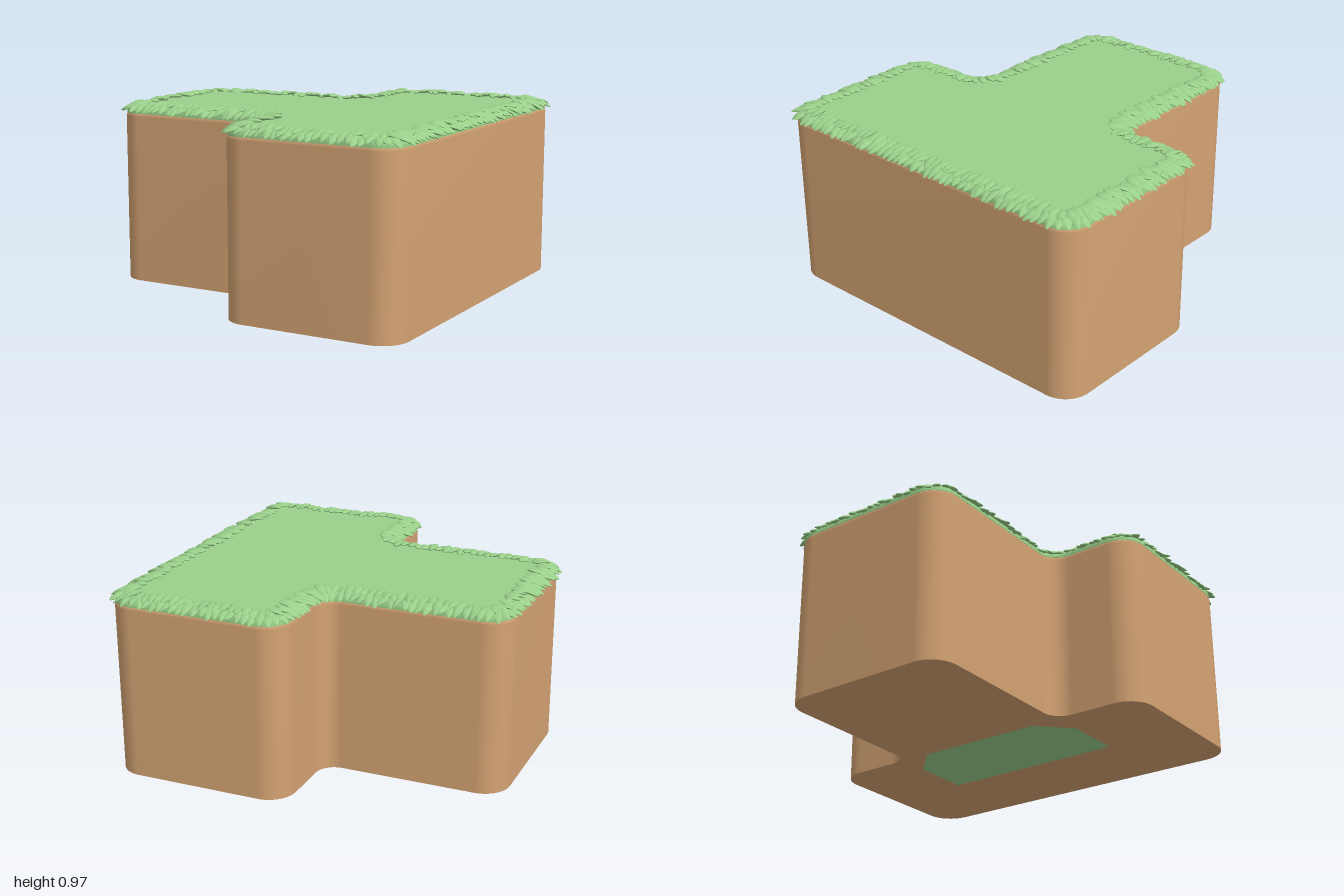
import * as THREE from 'three';
import { mergeGeometries } from 'three/addons/utils/BufferGeometryUtils.js';

const SOIL = 0xd4a373, GRASS = 0x9ad08a;

// Seeded jitter in the range -1..1
let seed = 7;
const jitter = () => {
  seed = (seed * 16807) % 2147483647;
  return (seed / 2147483647) * 2 - 1;
};

// T-shaped plan with rounded corners, drawn counter-clockwise and moved inwards by d
function plan(d) {
  const h = 0.96 - d, s = 0.48 - d;
  const corners = [[h, -h], [h, h], [d, h], [d, s], [-h, s], [-h, -s], [d, -s], [d, -h]]
    .map(([x, y]) => new THREE.Vector2(x, y));
  const shape = new THREE.Shape();
  let first;
  corners.forEach((c, i) => {
    const notch = i === 3 || i === 6;
    const r = notch ? 0.1 + d : 0.14 - d;
    const toPrev = corners[(i + 7) % 8].clone().sub(c).normalize();
    const toNext = corners[(i + 1) % 8].clone().sub(c).normalize();
    const at = (dir, k) => c.clone().addScaledVector(dir, k);
    const a = at(toPrev, r), b = at(toPrev, r * 0.45), e = at(toNext, r * 0.45), f = at(toNext, r);
    if (i === 0) { shape.moveTo(a.x, a.y); first = a; } else shape.lineTo(a.x, a.y);
    shape.bezierCurveTo(b.x, b.y, e.x, e.y, f.x, f.y);
  });
  shape.lineTo(first.x, first.y);
  return shape;
}

// Skin through plan outlines given as [height, inset]
function walls(rings) {
  const positions = [], index = [];
  let n = 0;
  for (const [y, inset] of rings) {
    const points = plan(inset).getPoints(10);
    points.pop();
    n = points.length;
    for (const p of points) positions.push(p.x, y, -p.y);
  }
  for (let k = 0; k < rings.length - 1; k++) {
    for (let i = 0; i < n; i++) {
      const j = (i + 1) % n, a = k * n + i, b = k * n + j;
      index.push(a, b, b + n, a, b + n, a + n);
    }
  }
  const g = new THREE.BufferGeometry();
  g.setAttribute('position', new THREE.Float32BufferAttribute(positions, 3));
  g.setIndex(index);
  g.computeVertexNormals();
  return g;
}

// Flat face at height y, facing up or down
function flat(shape, y, up) {
  const g = new THREE.ShapeGeometry(shape, 10);
  g.rotateX(up ? -Math.PI / 2 : Math.PI / 2).translate(0, y, 0);
  g.deleteAttribute('uv');
  return g;
}

function solid(rings) {
  const [y0, d0] = rings[0], [y1, d1] = rings[rings.length - 1];
  return mergeGeometries([walls(rings), flat(plan(d0), y0, false), flat(plan(d1), y1, true)]);
}

// Pointed, slightly drooping leaf along +z
function leafGeometry() {
  const g = new THREE.SphereGeometry(1, 8, 6).rotateX(Math.PI / 2);
  const p = g.attributes.position;
  for (let i = 0; i < p.count; i++) {
    const z = p.getZ(i), taper = z > 0 ? 1 - 0.45 * z : 1;
    p.setXYZ(i, p.getX(i) * 0.026 * taper, p.getY(i) * 0.011 * taper - 0.006 * z * z, z * 0.05);
  }
  g.computeVertexNormals();
  return g;
}

// Row of leaves that point outwards along the rim
function leafRow({ count, inset, y, pitch }) {
  const points = plan(inset).getSpacedPoints(count);
  points.pop();
  const leaf = leafGeometry(), dummy = new THREE.Object3D();
  dummy.rotation.order = 'YXZ';
  const leaves = points.map((p, i) => {
    const n = points.length;
    const t = points[(i + 1) % n].clone().sub(points[(i + n - 1) % n]);
    dummy.position.set(p.x + 0.006 * jitter(), y + 0.006 * jitter(), -p.y + 0.006 * jitter());
    dummy.rotation.set(pitch + 0.15 * jitter(), Math.atan2(t.y, t.x) + 0.25 * jitter(), 0.25 * jitter());
    dummy.scale.setScalar(1 + 0.1 * jitter());
    dummy.updateMatrix();
    return leaf.clone().applyMatrix4(dummy.matrix);
  });
  return mergeGeometries(leaves);
}

export function createModel() {
  seed = 7;
  const group = new THREE.Group();
  group.name = 'grassBlock';
  const soil = new THREE.MeshStandardMaterial({ color: SOIL });
  const grass = new THREE.MeshStandardMaterial({ color: GRASS });
  const add = (name, geometry, material) => {
    const mesh = new THREE.Mesh(geometry, material);
    mesh.name = name;
    group.add(mesh);
  };

  // Soil body with a softened top edge
  add('soilBody', solid([[0, 0], [0.89, 0], [0.91, 0.008], [0.92, 0.03]]), soil);

  // Grass layer on top
  add('grassTop', solid([[0.905, 0.004], [0.925, 0.004], [0.938, 0.015], [0.944, 0.05]]), grass);

  // Leaves around the rim, in two overlapping rows
  add('outerLeaves', leafRow({ count: 185, inset: 0.017, y: 0.936, pitch: 0.28 }), grass);
  add('innerLeaves', leafRow({ count: 175, inset: 0.06, y: 0.952, pitch: 0.1 }), grass);

  // Green patch under the base
  const patch = new THREE.Shape([[0.48, -0.5], [0.48, 0.5], [0.16, 0.5], [0, 0.34], [0, -0.34], [0.16, -0.5]]
    .map(([x, y]) => new THREE.Vector2(x, y)));
  add('basePatch', flat(patch, -0.002, false), grass);

  return group;
}
